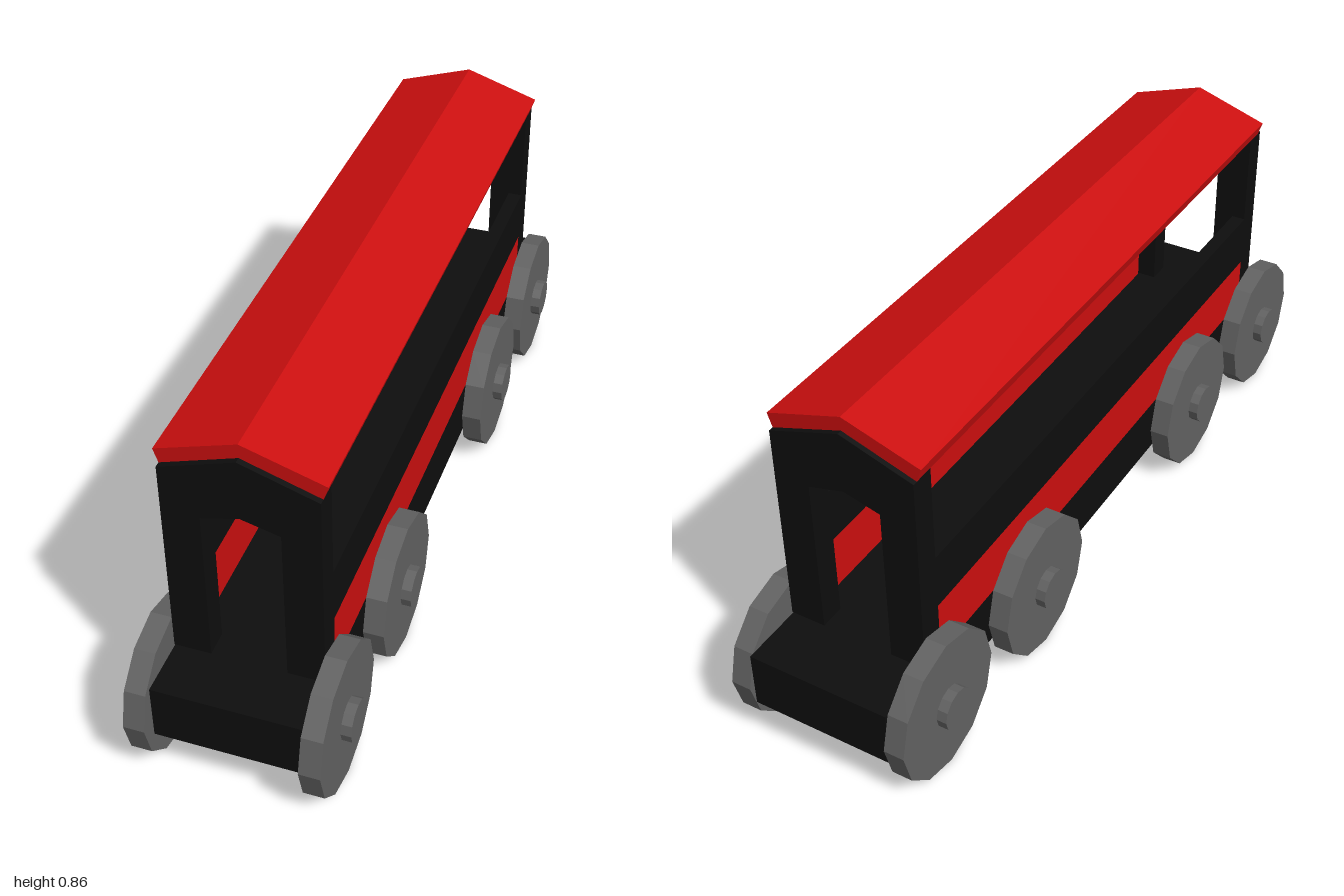
import * as THREE from 'three';

export function createModel() {
  const model = new THREE.Group();
  model.name = 'railCarriage';

  const material = (name, color) => {
    const m = new THREE.MeshStandardMaterial({ color });
    m.name = name;
    m.flatShading = true;
    return m;
  };
  const red = material('red', 0xcc0f0f);
  const black = material('black', 0x0e0e0e);
  const grey = material('grey', 0x626262);

  const add = (name, geometry, mat, x = 0, y = 0, z = 0) => {
    const mesh = new THREE.Mesh(geometry, mat);
    mesh.name = name;
    mesh.position.set(x, y, z);
    model.add(mesh);
    return mesh;
  };

  // Box given by its lower and upper limits on each axis
  const box = (name, mat, [x0, x1], [y0, y1], [z0, z1]) =>
    add(name, new THREE.BoxGeometry(x1 - x0, y1 - y0, z1 - z0), mat,
      (x0 + x1) / 2, (y0 + y1) / 2, (z0 + z1) / 2);

  // Outline in x and y, extruded from z0 to z1
  const extrude = (name, mat, points, z0, z1) => {
    const shape = new THREE.Shape(points.map(([x, y]) => new THREE.Vector2(x, y)));
    const geometry = new THREE.ExtrudeGeometry(shape, { depth: z1 - z0, bevelEnabled: false });
    return add(name, geometry, mat, 0, 0, z0);
  };

  // Floor, longer than the cabin so it forms a platform at each end
  box('chassis', black, [-0.173, 0.173], [0.123, 0.263], [-0.985, 0.957]);

  // Gabled end frames with an open doorway
  const frame = [
    [-0.173, 0.267], [-0.087, 0.267], [-0.087, 0.66], [0, 0.683],
    [0.087, 0.66], [0.087, 0.267], [0.173, 0.267], [0.173, 0.772],
    [0, 0.83], [-0.173, 0.772],
  ];
  extrude('frontFrame', black, frame, 0.765, 0.825);
  extrude('backFrame', black, frame, -0.835, -0.775);

  // Pitched roof of even thickness
  const roof = [
    [-0.173, 0.772], [0, 0.83], [0.173, 0.772],
    [0.184, 0.805], [0, 0.864], [-0.184, 0.805],
  ];
  extrude('roof', red, roof, -0.823, 0.811);

  for (const side of [1, -1]) {
    const label = side > 0 ? 'left' : 'right';
    const wallX = side > 0 ? [0.138, 0.173] : [-0.173, -0.138];

    // Two-tone side walls, open above
    box(`${label}LowerWall`, red, wallX, [0.263, 0.4], [-0.775, 0.765]);
    box(`${label}UpperWall`, black, wallX, [0.4, 0.535], [-0.775, 0.765]);

    // Wheels with small protruding hubs
    for (const z of [0.825, 0.406, -0.406, -0.825]) {
      const wheel = add(`${label}Wheel`, new THREE.CylinderGeometry(0.175, 0.175, 0.049, 12),
        grey, side * 0.1975, 0.175, z);
      wheel.rotation.z = Math.PI / 2;
      const hub = add(`${label}Hub`, new THREE.CylinderGeometry(0.049, 0.049, 0.046, 12),
        grey, side * 0.223, 0.175, z);
      hub.rotation.z = Math.PI / 2;
    }
  }

  return model;
}
